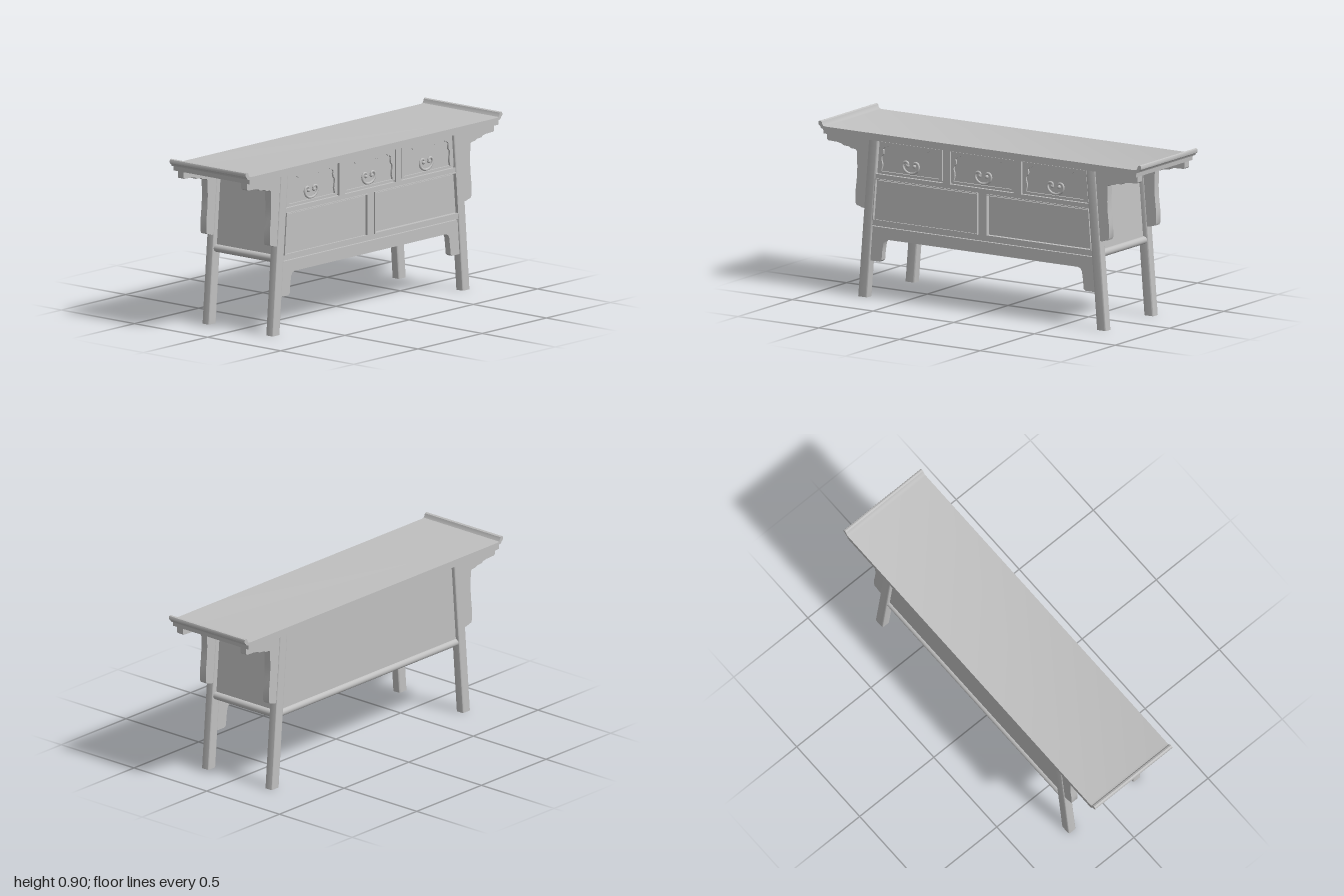
import * as THREE from 'three';
import { toCreasedNormals } from 'three/addons/utils/BufferGeometryUtils.js';

const wood = new THREE.MeshStandardMaterial({ color: 0xc0c0c0 });
wood.name = 'grey wood';

export function createModel() {
  const root = new THREE.Group();
  root.name = 'sideboard';

  const add = (name, geometry) => {
    const mesh = new THREE.Mesh(geometry, wood);
    mesh.name = name;
    root.add(mesh);
    return mesh;
  };
  const box = (name, x0, x1, y0, y1, z0, z1) =>
    add(name, new THREE.BoxGeometry(x1 - x0, y1 - y0, z1 - z0)
      .translate((x0 + x1) / 2, (y0 + y1) / 2, (z0 + z1) / 2));
  const vec = (pts) => pts.map(([x, y]) => new THREE.Vector2(x, y));
  // outline in x and y, pushed from z0 to z1
  const slab = (name, pts, z0, z1, holes = []) => {
    const shape = new THREE.Shape(vec(pts));
    holes.forEach((h) => shape.holes.push(new THREE.Path(vec(h))));
    const g = new THREE.ExtrudeGeometry(shape, { depth: z1 - z0, bevelEnabled: false });
    return add(name, toCreasedNormals(g.translate(0, 0, z0), 0.6));
  };
  const flip = (pts, s) => pts.map(([x, y]) => [x * s, y]);
  // half outline closed by its own mirror image
  const mirrored = (pts) => [...pts, ...flip(pts, -1).reverse()];
  const innerX = (y) => 0.71 - 0.078 * y;
  const centreX = (y) => 0.74 - 0.081 * y;

  // top board with upturned ends
  slab('tableTop', mirrored([
    [0.968, 0.835], [0.97, 0.858], [0.984, 0.862], [0.989, 0.872], [0.998, 0.878],
    [1, 0.888], [0.997, 0.897], [0.989, 0.9], [0.98, 0.896], [0.976, 0.884], [0.97, 0.875], [0.958, 0.872],
  ]), -0.26, 0.26);

  // splayed legs with rounded corners
  const legSection = new THREE.Shape();
  const w = 0.029, d = 0.024, r = 0.01;
  legSection.moveTo(-w + r, -d).lineTo(w - r, -d);
  legSection.quadraticCurveTo(w, -d, w, -d + r).lineTo(w, d - r);
  legSection.quadraticCurveTo(w, d, w - r, d).lineTo(-w + r, d);
  legSection.quadraticCurveTo(-w, d, -w, d - r).lineTo(-w, -d + r);
  legSection.quadraticCurveTo(-w, -d, -w + r, -d);
  const bracket = [
    [0.66, 0.835], [0.962, 0.835], [0.962, 0.803], [0.955, 0.797], [0.9, 0.795], [0.872, 0.79],
    [0.862, 0.782], [0.825, 0.78], [0.812, 0.772], [0.785, 0.77], [0.777, 0.762], [0.774, 0.68],
    [0.777, 0.62], [0.784, 0.56], [0.785, 0.49], [0.779, 0.478], [0.76, 0.474], [0.745, 0.468], [0.69, 0.468],
  ];
  for (const s of [1, -1]) {
    const side = s > 0 ? 'left' : 'right';
    for (const f of [1, -1]) {
      const end = f > 0 ? 'Front' : 'Back';
      const g = new THREE.ExtrudeGeometry(legSection, { depth: 0.835, bevelEnabled: false, curveSegments: 5 });
      g.rotateX(-Math.PI / 2);
      const p = g.attributes.position;
      for (let i = 0; i < p.count; i++) p.setX(i, p.getX(i) + s * centreX(p.getY(i)));
      g.translate(0, 0, f * 0.218);
      add(side + end + 'Leg', toCreasedNormals(g, 0.6));
      slab(side + end + 'Bracket', flip(bracket, s), f * 0.217 - 0.02, f * 0.217 + 0.02);
    }
    // leaning side panel and its two rails
    slab(side + 'SidePanel', flip([
      [centreX(0.38) - 0.015, 0.38], [centreX(0.38), 0.38], [centreX(0.835), 0.835], [centreX(0.835) - 0.015, 0.835],
    ], s), -0.2, 0.2);
    for (const y of [0.395, 0.815])
      add(side + (y < 0.5 ? 'SideStretcher' : 'SideTopRail'),
        new THREE.CylinderGeometry(0.02, 0.02, 0.4, 16).rotateX(Math.PI / 2).translate(s * (centreX(y) + 0.003), y, 0));
  }

  // back, bottom and back stretcher
  const trapezoid = (y0, y1) => mirrored([[innerX(y0) + 0.01, y0], [innerX(y1) + 0.01, y1]]);
  slab('backPanel', trapezoid(0.385, 0.835), -0.222, -0.207);
  box('bottomPanel', -0.69, 0.69, 0.378, 0.395, -0.217, 0.22);
  add('backStretcher', new THREE.CylinderGeometry(0.02, 0.02, 1.38, 16)
    .rotateZ(Math.PI / 2).translate(0, 0.395, -0.218));

  // front boarding, rails and posts
  slab('frontPanel', trapezoid(0.385, 0.835), 0.2, 0.222);
  slab('middleRail', trapezoid(0.632, 0.656), 0.2, 0.238);
  slab('bottomRail', trapezoid(0.384, 0.412), 0.2, 0.238);
  for (const x of [-0.222, 0.218]) box('drawerPost', x - 0.022, x + 0.022, 0.65, 0.835, 0.2, 0.238);
  box('doorPost', -0.024, 0.024, 0.4, 0.64, 0.2, 0.238);

  // apron with drop ends
  slab('frontApron', mirrored([
    [innerX(0.375) + 0.01, 0.378], [innerX(0.195) + 0.005, 0.195], [0.637, 0.195], [0.626, 0.205],
    [0.622, 0.25], [0.615, 0.295], [0.605, 0.31], [0.59, 0.316],
  ]), 0.2, 0.234);

  // plain lower fronts with fine beading
  for (const s of [1, -1]) {
    const ring = (m) => flip([
      [0.026 + m, 0.411 + m], [innerX(0.411) - m, 0.411 + m], [innerX(0.632) - m, 0.632 - m], [0.026 + m, 0.632 - m],
    ], s);
    slab('lowerFront', ring(0.011), 0.22, 0.232);
    slab('lowerBeading', ring(0), 0.222, 0.245, [ring(0.005)]);
  }

  // carved upper drawers: scalloped border and scroll handle
  const scallop = mirrored([
    [0.18, 0.672], [0.172, 0.7], [0.173, 0.715], [0.179, 0.735], [0.177, 0.75], [0.166, 0.762], [0.164, 0.778],
    [0.168, 0.79], [0.158, 0.8], [0.145, 0.803], [0.135, 0.81], [0.118, 0.81], [0.105, 0.801], [0.085, 0.802],
    [0.07, 0.797], [0.05, 0.804], [0.025, 0.807],
  ]);
  const scroll = [
    [0.02, 0.718], [0.017, 0.73], [0.027, 0.738], [0.042, 0.734], [0.049, 0.718],
    [0.042, 0.698], [0.024, 0.684], [0, 0.679],
  ];
  const scrollPath = new THREE.CatmullRomCurve3(
    [...scroll, ...flip(scroll.slice(0, -1), -1).reverse()].map(([x, y]) => new THREE.Vector3(x, y, 0)));
  for (const k of [-1, 0, 1]) {
    const c = k * 0.448 - 0.002;
    const edge = (sign, y, m) => (k === sign ? sign * (innerX(y) - m) : c + sign * (0.202 - m));
    const ring = (m) => [
      [edge(-1, 0.658, m), 0.658 + m], [edge(1, 0.658, m), 0.658 + m],
      [edge(1, 0.833, m), 0.833 - m], [edge(-1, 0.833, m), 0.833 - m],
    ];
    slab('drawerBorder', ring(0.006), 0.22, 0.232, [scallop.map(([x, y]) => [x + c, y])]);
    add('scrollHandle', new THREE.TubeGeometry(scrollPath, 48, 0.0065, 8).translate(c, 0, 0.225));
    for (const s of [1, -1])
      add('scrollTip', new THREE.SphereGeometry(0.01, 12, 8).translate(c + s * 0.021, 0.719, 0.224));
  }
  return root;
}
